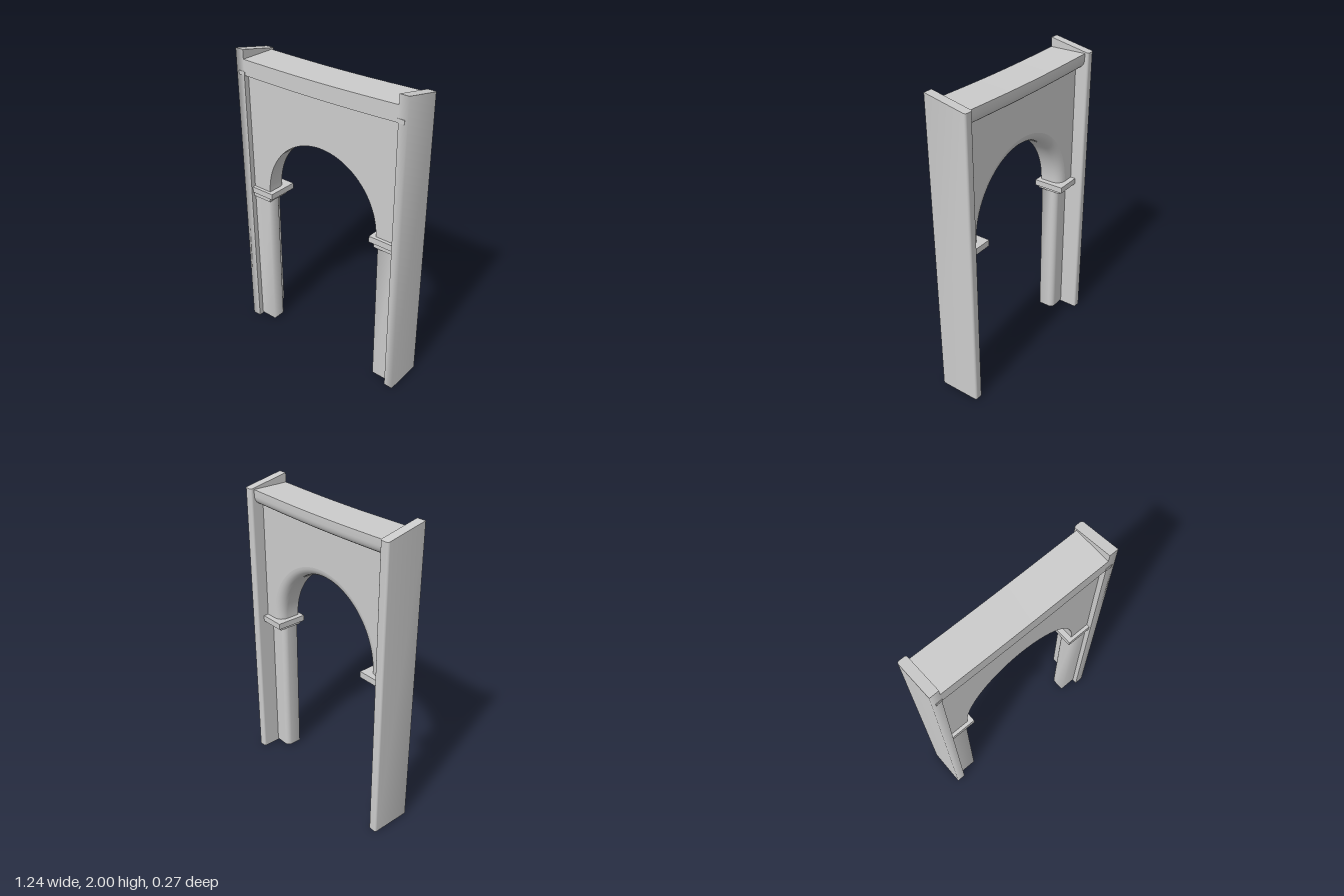
import * as THREE from 'three';
import { toCreasedNormals } from 'three/addons/utils/BufferGeometryUtils.js';

const FRONT = 0.134, WALL_FRONT = 0.1, WALL_BACK = -0.05, SPRING = 1.07;
const ARCH_X = 0.425, ARCH_Y = 0.44, FLARE = 0.06;

export function createModel() {
  const model = new THREE.Group();
  const grey = new THREE.MeshStandardMaterial({ color: 0xcccccc });
  const thin = new THREE.MeshStandardMaterial({ color: 0xcccccc, side: THREE.DoubleSide });

  const add = (name, geometry, material = grey) => {
    const mesh = new THREE.Mesh(geometry, material);
    mesh.name = name;
    model.add(mesh);
    return mesh;
  };
  // Box given by its lower and upper bounds
  const box = (name, x0, x1, y0, y1, z0, z1) =>
    add(name, new THREE.BoxGeometry(x1 - x0, y1 - y0, z1 - z0))
      .position.set((x0 + x1) / 2, (y0 + y1) / 2, (z0 + z1) / 2);
  // Moves every vertex by a rule
  const bend = (geometry, rule) => {
    const p = geometry.attributes.position;
    const v = new THREE.Vector3();
    for (let i = 0; i < p.count; i++) {
      rule(v.fromBufferAttribute(p, i));
      p.setXYZ(i, v.x, v.y, v.z);
    }
    geometry.computeVertexNormals();
    return geometry;
  };
  // Upright smooth skin along an outline of [x, z] points
  const upright = (points, bottom, topAt) =>
    bend(new THREE.PlaneGeometry(1, 1, points.length - 1, 1), (v) => {
      const [x, z] = points[Math.round((v.x + 0.5) * (points.length - 1))];
      v.set(x, v.y > 0 ? topAt(z) : bottom, z);
    });
  // Rounded corner points, from angle a0 to a1
  const corner = (cx, cz, r, a0, a1, n = 6) =>
    Array.from({ length: n + 1 }, (_, i) => {
      const a = a0 + ((a1 - a0) * i) / n;
      return [cx + r * Math.cos(a), cz + r * Math.sin(a)];
    });
  const mirror = (points) => points.map(([x, z]) => [-x, z]).reverse();
  const slope = (z) => 1.9725 + z * 0.204;

  // Outlines on the -x side: post with rounded back corners, hollow jamb
  const postOutline = [
    [-0.56, FRONT],
    ...corner(-0.574, -0.121, 0.014, 0, -Math.PI / 2),
    ...corner(-0.606, -0.121, 0.014, -Math.PI / 2, -Math.PI),
    [-0.62, FRONT], [-0.56, FRONT],
  ];
  const jambOutline = [
    [-0.56, WALL_FRONT], [-0.44, WALL_FRONT],
    ...corner(-0.475, 0.025, 0.035, 0, -Math.PI / 2),
    [-0.56, -0.01],
  ];

  for (const s of [-1, 1]) {
    const side = s > 0 ? 'left' : 'right';
    const place = (points) => (s > 0 ? mirror(points) : points);
    const span = (a, b) => (s > 0 ? [a, b] : [-b, -a]);

    // Post with a sloping top
    const post = place(postOutline);
    const face = (flip) =>
      new THREE.ShapeGeometry(new THREE.Shape(post.slice(0, -1).map(([x, z]) => new THREE.Vector2(x, flip * z))))
        .rotateX((flip * Math.PI) / 2);
    add(side + 'Post', upright(post, 0, slope));
    add(side + 'PostTop', bend(face(-1), (v) => { v.y = slope(v.z); }));
    add(side + 'PostFoot', face(1));

    add(side + 'Jamb', upright(place(jambOutline), 0.01, () => 1.01));
    // Two-step impost below the arch
    box(side + 'ImpostSlab', ...span(0.39, 0.56), 1.03, SPRING, -0.085, 0.122);
    box(side + 'ImpostStep', ...span(0.42, 0.56), 1.0, 1.03, -0.05, 0.112);
    // Small end of the cornice lapping over the post front
    box(side + 'CorniceEnd', ...span(0.555, 0.6), 1.84, 1.865, 0.12, 0.137);
  }

  // Wall faces above the springing line, with an arched cut-out
  const wallFace = (grow) => {
    const rx = ARCH_X + grow, ry = ARCH_Y + grow;
    const shape = new THREE.Shape();
    shape.moveTo(-0.56, SPRING);
    shape.lineTo(-rx, SPRING);
    shape.absellipse(0, SPRING, rx, ry, Math.PI, 0, true);
    shape.lineTo(0.56, SPRING);
    shape.lineTo(0.56, 1.85);
    shape.lineTo(-0.56, 1.85);
    return new THREE.ShapeGeometry(shape, 30);
  };
  add('wallFront', wallFace(0), thin).position.z = WALL_FRONT;
  add('wallBack', wallFace(FLARE), thin).position.z = WALL_BACK;

  // Arch soffit, curving out into the back face
  const soffit = [new THREE.Vector2(0, WALL_FRONT)];
  for (let i = 0; i <= 6; i++) {
    const a = (i / 6) * Math.PI / 2;
    soffit.push(new THREE.Vector2(FLARE * (1 - Math.cos(a)), 0.01 + (WALL_BACK - 0.01) * Math.sin(a)));
  }
  for (const p of soffit) p.x += ARCH_X;
  const arch = new THREE.LatheGeometry(soffit, 60, Math.PI / 2, Math.PI).rotateX(Math.PI / 2);
  // Raise the crown a little above a half circle
  bend(arch, (v) => { v.y *= 1 + (ARCH_Y - ARCH_X) / Math.hypot(v.x, v.y); });
  add('archSoffit', arch, thin).position.y = SPRING;

  // Lintel: rounded underside at the back, slightly sagging mid-span
  const profile = new THREE.Shape();
  profile.moveTo(-FRONT, 1.84);
  profile.lineTo(0.05, 1.84);
  profile.quadraticCurveTo(0.108, 1.845, 0.112, 1.9);
  profile.lineTo(0.112, 1.94);
  profile.lineTo(-FRONT, 1.94);
  const lintel = new THREE.ExtrudeGeometry(profile, { depth: 1.12, steps: 10, bevelEnabled: false, curveSegments: 8 });
  lintel.rotateY(Math.PI / 2).translate(-0.56, 0, 0);
  bend(lintel, (v) => { v.y -= 0.009 * Math.cos((v.x / 0.56) * Math.PI / 2); });
  add('lintel', toCreasedNormals(lintel, 0.7));

  return model;
}
